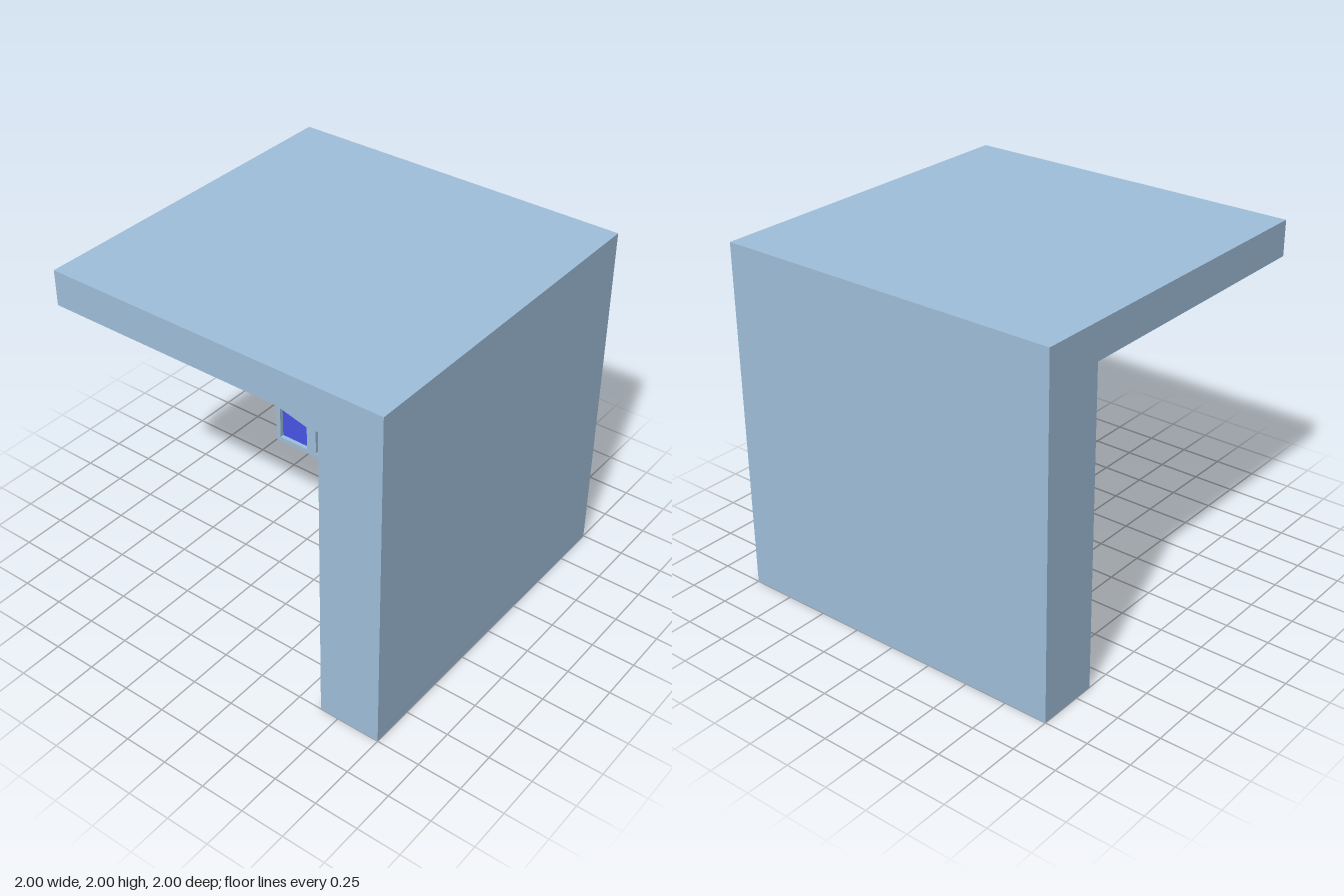
import * as THREE from 'three';

const INNER = 0.64;        // inner face of both walls
const RELIEF = 0.03;       // depth of the lattice
const CEILING = 1.8;       // underside of the roof slab
const BAR = 0.07;          // lattice bar width
const RIM = 0.03;          // thin frame around each lattice
const W = 1 + INNER;       // lattice width
const BACK = INNER + RELIEF;

// Half of the lattice as segments [x1, y1, x2, y2], x measured from the free edge
const M = W / 2;
const HALF = [
  [0.275, 0.01, 0.275, CEILING - 0.01],
  [0.015, 1.34, 0.275, 1.31],
  [0.015, 0.81, 0.275, 0.715],
  [0.015, 0.29, 0.275, 0.225],
  [M, 0.805, 0.275, 0.715],
  [M, 0.805, 0.44, 1.295],
  [M, 0.805, 0.55, 0.295],
  [0.275, 1.31, 0.44, 1.295],
  [0.44, 1.295, 0.57, CEILING - 0.02],
  [0.44, 1.295, M, 1.375],
  [0.275, 0.225, 0.55, 0.295],
  [0.55, 0.295, 0.645, 0.015],
  [0.55, 0.295, M, 0.26],
];

export function createModel() {
  const model = new THREE.Group();
  model.name = 'cornerPavilion';

  const shell = new THREE.MeshStandardMaterial({ color: 0xa0c0db });
  shell.name = 'paleBlueShell';
  const glass = new THREE.MeshStandardMaterial({ color: 0x4855e8 });
  glass.name = 'deepBluePanel';

  // Box given by its minimum and maximum corners
  function box(parent, name, mat, a, b) {
    const mesh = new THREE.Mesh(new THREE.BoxGeometry(b[0] - a[0], b[1] - a[1], b[2] - a[2]), mat);
    mesh.position.set((a[0] + b[0]) / 2, (a[1] + b[1]) / 2, (a[2] + b[2]) / 2);
    mesh.name = name;
    parent.add(mesh);
  }

  // Roof slab, two solid walls and the post that closes their inner corner
  box(model, 'roofSlab', shell, [-1, CEILING, -1], [1, 2, 1]);
  box(model, 'sideWall', shell, [BACK, 0, -1], [1, CEILING, 1]);
  box(model, 'frontWall', shell, [-1, 0, BACK], [BACK, CEILING, 1]);
  box(model, 'cornerPost', shell, [INNER, 0, INNER], [BACK, CEILING, BACK]);

  // Bar between two points, lying on the panel
  function bar(parent, x1, y1, x2, y2) {
    const mesh = new THREE.Mesh(
      new THREE.BoxGeometry(Math.hypot(x2 - x1, y2 - y1), BAR, RELIEF), shell);
    mesh.position.set((x1 + x2) / 2, (y1 + y2) / 2, RELIEF / 2);
    mesh.rotation.z = Math.atan2(y2 - y1, x2 - x1);
    mesh.name = 'latticeBar';
    parent.add(mesh);
  }

  // Lattice screen over a blue panel, centred on x and facing +z
  function lattice(name) {
    const g = new THREE.Group();
    g.name = name;
    box(g, 'bluePanel', glass, [-M + 0.01, 0.01, 0], [M - 0.01, CEILING - 0.01, 0.004]);
    box(g, 'bottomRim', shell, [-M, 0, 0], [M, RIM, RELIEF]);
    box(g, 'topRim', shell, [-M, CEILING - RIM, 0], [M, CEILING, RELIEF]);
    for (const s of [-1, 1]) {
      const x = s * (M - RIM / 2);
      box(g, 'sideRim', shell, [x - RIM / 2, 0, 0], [x + RIM / 2, CEILING, RELIEF]);
      for (const [x1, y1, x2, y2] of HALF) bar(g, s * (x1 - M), y1, s * (x2 - M), y2);
    }
    bar(g, 0, 0.01, 0, CEILING - 0.01);
    model.add(g);
    return g;
  }

  // One screen on the inside of each wall
  const offset = (INNER - 1) / 2;
  const front = lattice('frontWallLattice');
  front.rotation.y = Math.PI;
  front.position.set(offset, 0, BACK);
  const side = lattice('sideWallLattice');
  side.rotation.y = -Math.PI / 2;
  side.position.set(BACK, 0, offset);

  return model;
}
